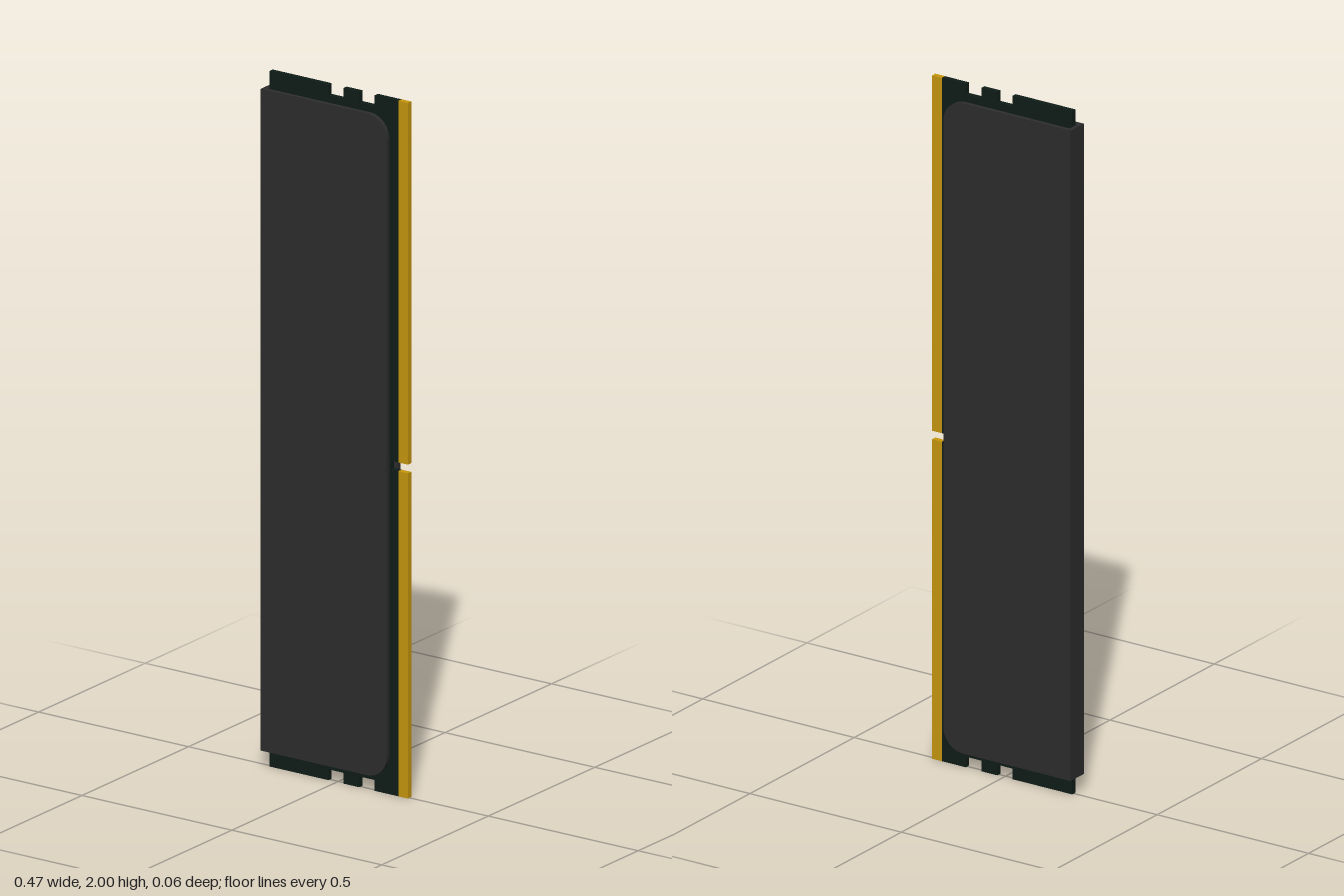
import * as THREE from 'three';

const mat = (color) => new THREE.MeshStandardMaterial({ color });

// Extrude an outline in x/y between two z values
function slab(name, shape, z0, z1, material) {
  const geo = new THREE.ExtrudeGeometry(shape, { depth: z1 - z0, bevelEnabled: false, curveSegments: 8 });
  geo.translate(0, 0, z0);
  const mesh = new THREE.Mesh(geo, material);
  mesh.name = name;
  return mesh;
}

// Box given by its minimum and maximum corners
function block(name, [x0, y0, z0], [x1, y1, z1], material) {
  const mesh = new THREE.Mesh(new THREE.BoxGeometry(x1 - x0, y1 - y0, z1 - z0), material);
  mesh.position.set((x0 + x1) / 2, (y0 + y1) / 2, (z0 + z1) / 2);
  mesh.name = name;
  return mesh;
}

export function createModel() {
  const model = new THREE.Group();
  model.name = 'memoryModule';
  const boardMat = mat(0x0f1c18);
  const goldMat = mat(0xc8980f);
  const coverMat = mat(0x2d2d2d);
  const chipMat = mat(0x2b2b2b);

  const zBack = -0.008, zFront = 0.007;
  const keyLow = 0.935, keyHigh = 0.96;
  const left = -0.225, boardRight = 0.205, right = 0.237;

  // Circuit board with two notches at each end and the key slot at the side
  const notches = [[-0.028, 0.022], [0.075, 0.126]];
  const depth = 0.031;
  const outline = [[left, 0]];
  for (const [a, b] of notches) outline.push([a, 0], [a, depth], [b, depth], [b, 0]);
  outline.push([boardRight, 0], [boardRight, keyLow], [0.18, keyLow], [0.18, keyHigh], [boardRight, keyHigh], [boardRight, 2]);
  for (const [a, b] of [...notches].reverse()) outline.push([b, 2], [b, 2 - depth], [a, 2 - depth], [a, 2]);
  outline.push([left, 2]);
  const board = new THREE.Shape(outline.map(([x, y]) => new THREE.Vector2(x, y)));
  model.add(slab('circuitBoard', board, zBack, zFront, boardMat));

  // Gold contact strips on both sides of the key slot
  for (const [name, y0, y1] of [['lowerContacts', 0, keyLow], ['upperContacts', keyHigh, 2]]) {
    model.add(block(name, [boardRight, y0, zBack - 0.0005], [right, y1, zFront + 0.0005], goldMat));
  }

  // Heat spreader: two plates rounded on the contact side, joined by a spine
  const spreader = new THREE.Group();
  spreader.name = 'heatSpreader';
  const x0 = -0.237, x1 = 0.183, y0 = 0.05, y1 = 1.953, r = 0.065;
  const plate = new THREE.Shape();
  plate.moveTo(left, y0);
  plate.lineTo(x1 - r, y0);
  plate.absarc(x1 - r, y0 + r, r, -Math.PI / 2, 0);
  plate.lineTo(x1, y1 - r);
  plate.absarc(x1 - r, y1 - r, r, 0, Math.PI / 2);
  plate.lineTo(left, y1);
  spreader.add(slab('frontPlate', plate, 0.018, 0.031, coverMat));
  spreader.add(slab('backPlate', plate, -0.033, -0.02, coverMat));
  spreader.add(block('spine', [x0, y0, -0.033], [left, y1, 0.031], coverMat));
  model.add(spreader);

  // Memory chips between the board and the front plate
  const chips = new THREE.Group();
  chips.name = 'memoryChips';
  for (let i = 0; i < 8; i++) {
    const y = 0.175 + i * 0.2 + (i > 3 ? 0.25 : 0);
    chips.add(block('chip', [-0.037, y - 0.08, zFront], [0.128, y + 0.08, 0.018], chipMat));
  }
  model.add(chips);
  return model;
}
